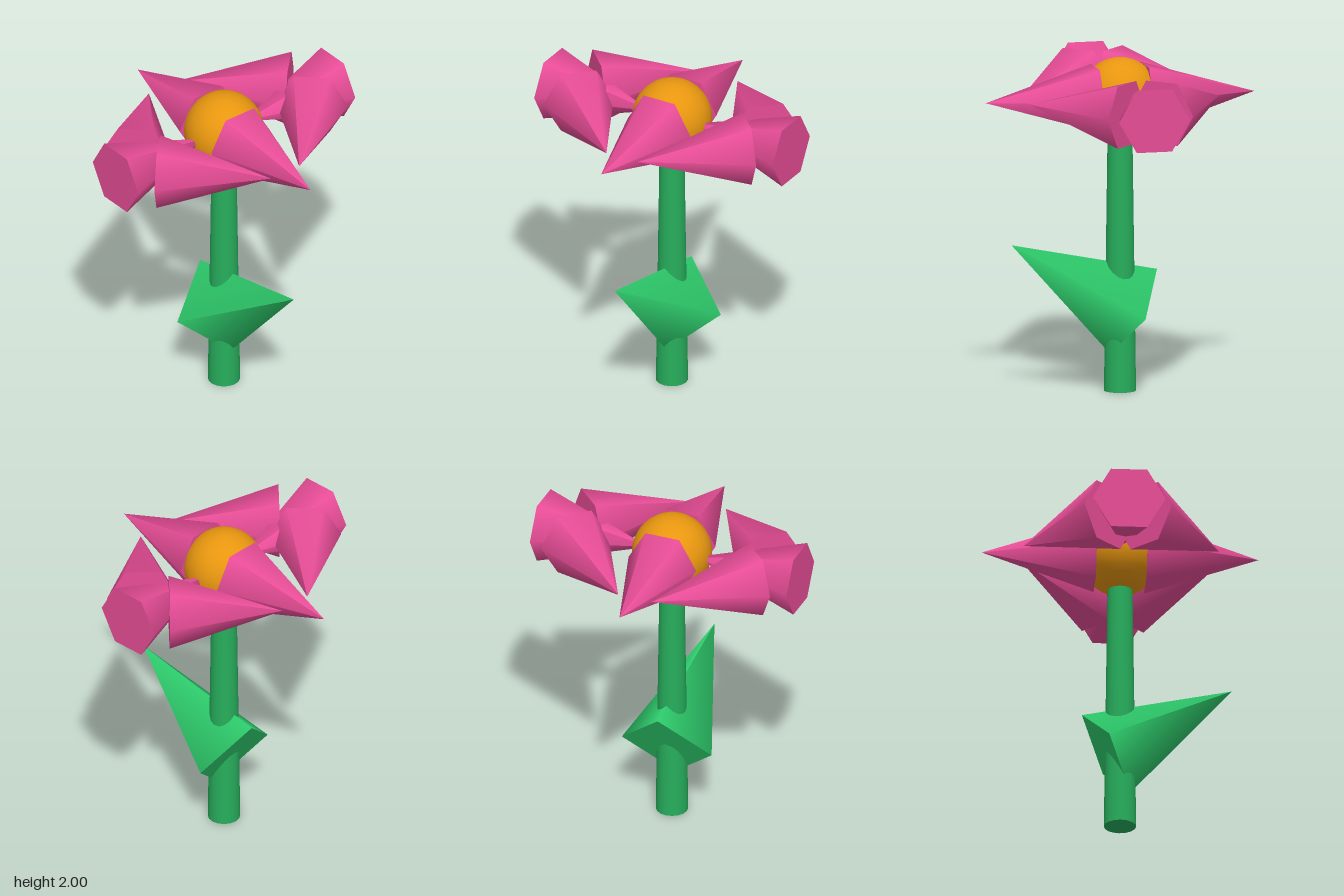
import * as THREE from 'three';

const paint = (name, color) => {
  const m = new THREE.MeshStandardMaterial({ color });
  m.name = name;
  return m;
};

export function createModel() {
  const flower = new THREE.Group();
  flower.name = 'flower';
  const stemGreen = paint('stem green', 0x27ae5c);
  const leafGreen = paint('leaf green', 0x2ecc6c);
  const petalPink = paint('petal pink', 0xe84d97);
  const centreOrange = paint('centre orange', 0xf09c10);

  const add = (name, geometry, material, x, y, z) => {
    const mesh = new THREE.Mesh(geometry, material);
    mesh.name = name;
    mesh.position.set(x, y, z);
    flower.add(mesh);
    return mesh;
  };

  const headY = 1.762;

  // tapered stem, ending inside the flower centre
  const stemHeight = 1.72;
  add('stem', new THREE.CylinderGeometry(0.072, 0.096, stemHeight, 16), stemGreen, 0, stemHeight / 2, 0);

  // four-sided leaf, tilted outwards through the stem
  const leaf = add('leaf', new THREE.ConeGeometry(0.287, 0.86, 4), leafGreen, 0.29, 0.686, 0);
  leaf.rotation.z = -Math.PI / 3;

  // round flower centre
  add('flowerCentre', new THREE.SphereGeometry(0.238, 24, 16), centreOrange, 0, headY, 0);

  // eight six-sided petals on a ring, each turned against its ring angle
  const petalShape = new THREE.ConeGeometry(0.216, 0.67, 6).rotateZ(-Math.PI / 2);
  const ringRadius = 0.485;
  for (let i = 0; i < 8; i++) {
    const a = (i * Math.PI) / 4;
    const petal = add('petal' + (i + 1), petalShape, petalPink,
      Math.cos(a) * ringRadius, headY, Math.sin(a) * ringRadius);
    petal.rotation.y = a;
  }

  return flower;
}
